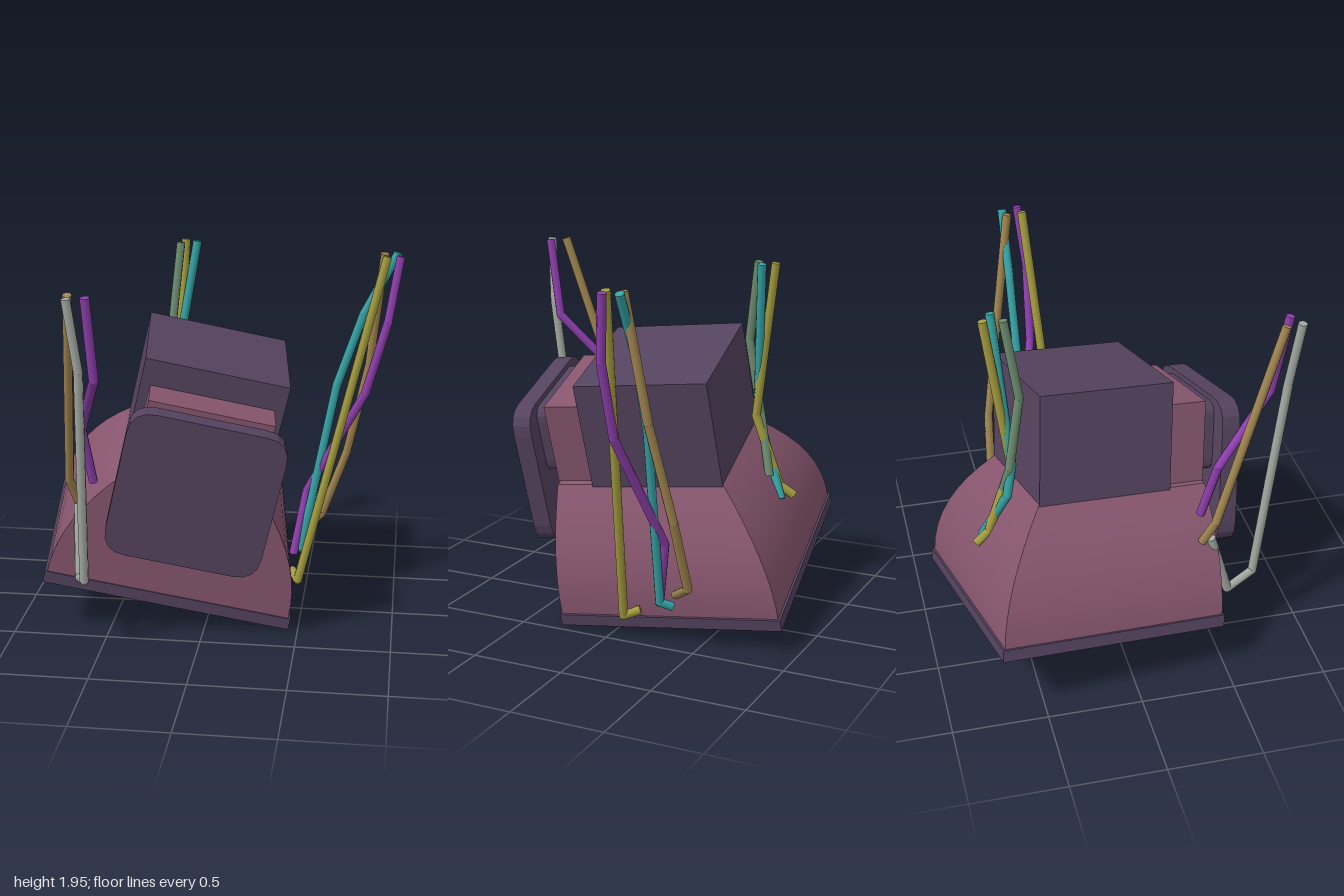
import * as THREE from 'three';

const mat = (color, side = THREE.FrontSide) => new THREE.MeshStandardMaterial({ color, side });
const V = (a) => new THREE.Vector3(...a);

function add(parent, name, geo, material, x = 0, y = 0, z = 0) {
  const m = new THREE.Mesh(geo, material);
  m.name = name;
  m.position.set(x, y, z);
  parent.add(m);
  return m;
}

// Four-sided skin through rectangular rings { y, x, z0, z1 }; smooth along each side, sharp at corners
function loft(rings, inward = false) {
  const pos = [], idx = [];
  const corners = (r) => {
    const c = [[-r.x, r.y, r.z1], [r.x, r.y, r.z1], [r.x, r.y, r.z0], [-r.x, r.y, r.z0]];
    return inward ? c.reverse() : c;
  };
  for (let s = 0; s < 4; s++) {
    const start = pos.length / 3;
    rings.forEach((r, i) => {
      const c = corners(r);
      pos.push(...c[s], ...c[(s + 1) % 4]);
      if (i === 0) return;
      const a = start + (i - 1) * 2;
      idx.push(a, a + 1, a + 2, a + 1, a + 3, a + 2);
    });
  }
  const g = new THREE.BufferGeometry();
  g.setAttribute('position', new THREE.Float32BufferAttribute(pos, 3));
  g.setIndex(idx);
  g.computeVertexNormals();
  return g;
}

// Rounded rectangle extruded along z, centred in x and y
function roundedSlab(a, b, r, depth) {
  const s = new THREE.Shape();
  s.moveTo(-a + r, -b);
  s.lineTo(a - r, -b);
  s.quadraticCurveTo(a, -b, a, -b + r);
  s.lineTo(a, b - r);
  s.quadraticCurveTo(a, b, a - r, b);
  s.lineTo(-a + r, b);
  s.quadraticCurveTo(-a, b, -a, b - r);
  s.lineTo(-a, -b + r);
  s.quadraticCurveTo(-a, -b, -a + r, -b);
  return new THREE.ExtrudeGeometry(s, { depth, bevelEnabled: false, curveSegments: 4 });
}

// Bent cable: straight cylinders with a ball at every bend
function cable(parent, name, color, pts, radius = 0.024) {
  const g = new THREE.Group();
  g.name = name;
  const m = mat(color);
  const p = pts.map(V);
  for (let i = 1; i < p.length; i++) {
    const d = p[i].clone().sub(p[i - 1]);
    const seg = add(g, 'cableSegment', new THREE.CylinderGeometry(radius, radius, d.length(), 8), m);
    seg.position.copy(p[i]).add(p[i - 1]).multiplyScalar(0.5);
    seg.quaternion.setFromUnitVectors(new THREE.Vector3(0, 1, 0), d.normalize());
    if (i < p.length - 1) add(g, 'cableBend', new THREE.SphereGeometry(radius, 8, 6), m, ...pts[i]);
  }
  parent.add(g);
}

export function createModel() {
  const model = new THREE.Group();
  model.name = 'hangingMonitor';
  const dark = mat(0x55435f), maroon = mat(0x87566e), grey = mat(0xa0a49c);

  // Monitor in its own frame: screen faces down (-y), foot towards +z, then tilted
  const monitor = new THREE.Group();
  monitor.name = 'monitor';
  const u = new THREE.Vector3(0.966, -0.217, -0.142).normalize();
  const w = new THREE.Vector3(0.123, -0.099, 0.988).normalize();
  const v = w.clone().cross(u).normalize();
  w.crossVectors(u, v);
  monitor.quaternion.setFromRotationMatrix(new THREE.Matrix4().makeBasis(u, v, w));
  monitor.position.set(-0.2725, 0.215, -0.215);
  model.add(monitor);

  // Bezel frame with screen opening
  const rect = (P, x, y0, y1) => {
    const p = new P();
    p.moveTo(-x, y0); p.lineTo(x, y0); p.lineTo(x, y1); p.lineTo(-x, y1); p.closePath();
    return p;
  };
  const frame = rect(THREE.Shape, 0.668, -0.6075, 0.6075);
  frame.holes.push(rect(THREE.Path, 0.58, -0.37, 0.52));
  const bezel = new THREE.ExtrudeGeometry(frame, { depth: 0.065, bevelEnabled: false });
  bezel.rotateX(-Math.PI / 2);
  add(monitor, 'bezel', bezel, dark);

  // Sloping recess around the screen
  const recess = [0, 0.35, 0.7, 1].map((t) => ({
    y: 0.07 * t * t, x: 0.58 - 0.1 * t, z0: -0.52 + 0.08 * t, z1: 0.37 - 0.08 * t,
  }));
  add(monitor, 'screenRecess', loft(recess, true), mat(0x55435f, THREE.DoubleSide));

  // Bulging glass
  const glass = new THREE.PlaneGeometry(0.97, 0.74, 14, 12);
  glass.rotateX(Math.PI / 2);
  const gp = glass.attributes.position;
  for (let i = 0; i < gp.count; i++) {
    const a = gp.getX(i) / 0.485, b = gp.getZ(i) / 0.37;
    gp.setY(i, 0.07 - 0.04 * (1 - a * a) * (1 - b * b));
  }
  glass.computeVertexNormals();
  add(monitor, 'screen', glass, mat(0x2b4a94), 0, 0, -0.075);

  // Curved rear housing: three sides round inwards, the foot side stays upright
  const rings = [];
  for (let i = 0; i <= 8; i++) {
    const s = i / 8, k = s * s;
    rings.push({ y: 0.06 + 0.64 * s, x: 0.655 - 0.28 * k, z0: -0.595 + 0.275 * k, z1: 0.6 });
  }
  add(monitor, 'rearHousing', loft(rings), maroon);
  add(monitor, 'housingCap', new THREE.BoxGeometry(0.75, 0.02, 0.92), maroon, 0, 0.69, 0.14);
  add(monitor, 'rearBox', new THREE.BoxGeometry(0.765, 0.59, 0.72), dark, 0, 0.985, 0.04);
  add(monitor, 'standBlock', new THREE.BoxGeometry(0.66, 0.46, 0.23), maroon, 0, 0.91, 0.495);

  // Stand foot and its neck
  add(monitor, 'footNeck', roundedSlab(0.3, 0.19, 0.07, 0.08), dark, 0, 0.92, 0.605);
  add(monitor, 'foot', roundedSlab(0.41, 0.4, 0.13, 0.1), dark, 0, 0.738, 0.675);

  // Controls on the bezel underside
  add(monitor, 'powerButton', new THREE.CylinderGeometry(0.023, 0.023, 0.03, 12), mat(0x2080c0), 0.48, -0.01, 0.53);
  for (const x of [0.25, 0.19])
    add(monitor, 'smallButton', new THREE.CylinderGeometry(0.012, 0.012, 0.02, 8), grey, x, -0.008, 0.55);
  for (let i = 0; i < 14; i++)
    add(monitor, 'speakerRib', new THREE.BoxGeometry(0.018, 0.016, 0.022), maroon, 0.085 - i * 0.033, -0.006, 0.55);

  // Cables by the foot corner
  cable(model, 'greyFrontCable', 0xa4aaa2, [[-0.585, 1.93, 0.885], [-0.54, 1.56, 0.85], [-0.567, 0.42, 0.715], [-0.625, 0.37, 0.56], [-0.645, 0.74, 0.45]]);
  cable(model, 'brownFrontCable', 0xa0854f, [[-0.595, 1.93, 0.8], [-0.685, 0.87, 0.46], [-0.65, 0.73, 0.4]]);
  cable(model, 'purpleFrontCable', 0x8f3fae, [[-0.5, 1.93, 0.85], [-0.48, 1.5, 0.78], [-0.61, 1.16, 0.48], [-0.57, 0.85, 0.41]]);

  // Cables at the back
  cable(model, 'greenBackCable', 0x6c8c6e, [[-0.24, 1.94, -0.535], [-0.28, 1.51, -0.475], [-0.3, 1.1, -0.54], [-0.235, 0.78, -0.62]]);
  cable(model, 'tealBackCable', 0x35a3a5, [[-0.155, 1.94, -0.585], [-0.29, 1.12, -0.525], [-0.32, 0.95, -0.56], [-0.235, 0.66, -0.69]]);
  cable(model, 'yellowBackCable', 0xa39c3e, [[-0.225, 1.94, -0.635], [-0.265, 1.1, -0.525], [-0.29, 0.72, -0.66], [-0.315, 0.665, -0.735]]);

  // Cables at the side
  cable(model, 'brownSideCable', 0xa0854f, [[0.89, 1.95, -0.305], [0.82, 1.3, -0.4], [0.71, 0.78, -0.485], [0.575, 0.39, -0.505], [0.46, 0.3, -0.385]]);
  cable(model, 'tealSideCable', 0x35a3a5, [[0.96, 1.95, -0.32], [0.785, 1.61, -0.32], [0.65, 1.21, -0.315], [0.47, 0.25, -0.3], [0.43, 0.22, -0.355]]);
  cable(model, 'purpleSideCable', 0x8f3fae, [[0.975, 1.95, -0.235], [0.92, 1.6, -0.2], [0.81, 1.2, -0.21], [0.495, 0.58, -0.34], [0.43, 0.22, -0.28]]);
  cable(model, 'yellowSideCable', 0xa39c3e, [[0.905, 1.95, -0.22], [0.47, 0.14, -0.09], [0.43, 0.17, -0.17]]);

  return model;
}
